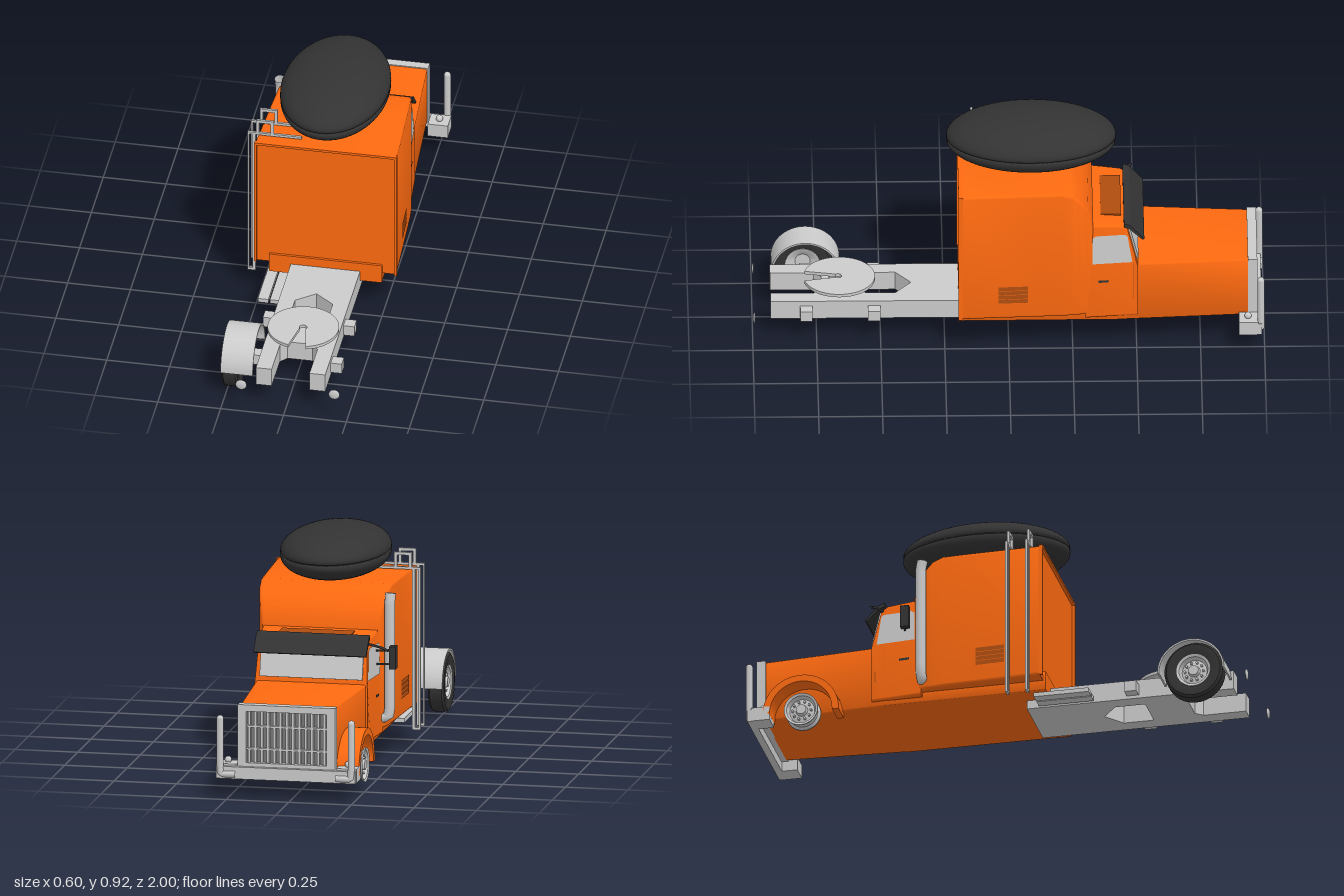
import * as THREE from 'three';
import { toCreasedNormals } from 'three/addons/utils/BufferGeometryUtils.js';

const CX = 0.015; // centre line of the body
const mat = (color) => new THREE.MeshStandardMaterial({ color, side: THREE.DoubleSide });

export function createModel() {
  const truck = new THREE.Group();
  const grey = mat(0xcccccc), orange = mat(0xff6a10), vent = mat(0xb04d10), black = mat(0x333333);

  function add(name, geo, m, x = 0, y = 0, z = 0) {
    const mesh = new THREE.Mesh(geo, m);
    mesh.name = name;
    mesh.position.set(x, y, z);
    truck.add(mesh);
    return mesh;
  }
  // box given by its limits
  const box = (name, m, x0, x1, y0, y1, z0, z1) =>
    add(name, new THREE.BoxGeometry(x1 - x0, y1 - y0, z1 - z0), m, (x0 + x1) / 2, (y0 + y1) / 2, (z0 + z1) / 2);
  // tube through straight or smooth points
  const pipe = (name, m, pts, r) =>
    add(name, new THREE.TubeGeometry(new THREE.CatmullRomCurve3(pts.map((p) => new THREE.Vector3(...p)), false, 'catmullrom', 0.1), 32, r, 12), m);
  // flat shape in x-z, thickened downwards from yTop
  function slab(name, m, shape, thick, yTop) {
    const g = new THREE.ExtrudeGeometry(shape, { depth: thick, bevelEnabled: false, curveSegments: 32 });
    return add(name, g.rotateX(Math.PI / 2), m, CX, yTop, 0);
  }
  const poly = (pts) => new THREE.Shape(pts.map((p) => new THREE.Vector2(...p)));

  // body skin through rounded sections [z, halfWidth, bottom, top, topInset]
  function loft(name, m, sections, r = 0.012) {
    const rings = sections.map(([z, w, y0, y1, inset = 0]) => {
      const ring = [];
      [[1, y0 + r, -1], [1, y1 - r, 0], [-1, y1 - r, 1], [-1, y0 + r, 2]].forEach(([s, cy, q], k) => {
        const cx = s * (w - r - (k === 1 || k === 2 ? inset : 0));
        for (let i = 0; i <= 4; i++) {
          const a = (q + i / 4) * Math.PI / 2;
          ring.push([CX + cx + r * Math.cos(a), cy + r * Math.sin(a), z]);
        }
      });
      return ring;
    });
    const pos = [], n = rings[0].length, last = rings[rings.length - 1];
    for (let i = 0; i < rings.length - 1; i++) {
      for (let j = 0; j < n; j++) {
        const k = (j + 1) % n, a = rings[i][j], b = rings[i][k], c = rings[i + 1][j], d = rings[i + 1][k];
        pos.push(...a, ...c, ...b, ...b, ...c, ...d);
      }
    }
    for (let j = 1; j < n - 1; j++) {
      pos.push(...rings[0][0], ...rings[0][j], ...rings[0][j + 1]);
      pos.push(...last[0], ...last[j + 1], ...last[j]);
    }
    const g = new THREE.BufferGeometry();
    g.setAttribute('position', new THREE.Float32BufferAttribute(pos, 3));
    return add(name, toCreasedNormals(g, 0.6), m);
  }

  // sleeper, cab, hood and underside
  loft('sleeper', orange, [
    [0.185, 0.282, 0.16, 0.717], [-0.1, 0.268, 0.16, 0.72], [-0.21, 0.262, 0.16, 0.72], [-0.25, 0.258, 0.16, 0.705],
    [-0.28, 0.253, 0.16, 0.675], [-0.31, 0.243, 0.16, 0.635], [-0.33, 0.23, 0.16, 0.57]]);
  loft('cab', orange, [[-0.3, 0.245, 0.14, 0.56, 0.012], [-0.44, 0.231, 0.14, 0.55, 0.012],
    [-0.465, 0.229, 0.14, 0.535, 0.012], [-0.505, 0.225, 0.14, 0.375]]);
  loft('hood', orange, [[-0.45, 0.222, 0.12, 0.375], [-0.94, 0.19, 0.12, 0.372]], 0.008);
  loft('underside', orange, [[0.195, 0.225, 0.12, 0.2], [-0.46, 0.222, 0.12, 0.2]], 0.005);
  // raised rim around the sleeper back
  box('sleeperRimTop', orange, CX - 0.283, CX + 0.283, 0.708, 0.718, 0.18, 0.197);
  for (const s of [-1, 1]) {
    const x = CX + s * 0.279;
    box('sleeperRimSide', orange, x - 0.005, x + 0.005, 0.16, 0.715, 0.18, 0.197);
  }

  // thin panels laid on the tapering flanks, outlined in z-y
  const cabX = (z, y) => 0.245 + (z + 0.3) * 0.1 - Math.max(0, y - 0.15) * 0.03 + 0.004;
  const sleeperX = (z) => 0.273 + z * 0.05 + 0.003;
  function flank(name, m, pts, xAt) {
    for (const s of [-1, 1]) {
      const g = new THREE.ShapeGeometry(poly(pts)), p = g.attributes.position;
      for (let i = 0; i < p.count; i++) {
        const z = p.getX(i), y = p.getY(i);
        p.setXYZ(i, CX + s * xAt(z, y), y, z);
      }
      g.computeVertexNormals();
      add(name, g, m);
    }
  }
  flank('sideWindow', grey, [[-0.328, 0.385], [-0.328, 0.5], [-0.34, 0.51], [-0.455, 0.51], [-0.465, 0.5], [-0.483, 0.385]], cabX);
  for (let i = 0; i < 4; i++) {
    const y = 0.232 + i * 0.019;
    flank('sideVent', vent, [[0.04, y], [0.04, y + 0.017], [-0.075, y + 0.017], [-0.075, y]], sleeperX);
  }
  flank('doorSeam', vent, [[-0.487, 0.22], [-0.487, 0.38], [-0.49, 0.38], [-0.49, 0.22]], cabX);
  flank('doorHandle', black, [[-0.35, 0.3], [-0.35, 0.31], [-0.39, 0.31], [-0.39, 0.3]], cabX);
  box('roofVent', vent, CX - 0.145, CX + 0.145, 0.545, 0.558, -0.44, -0.36);

  // windshield and sun visor
  const glass = box('windshield', grey, CX - 0.205, CX + 0.205, 0.39, 0.53, -0.491, -0.484);
  glass.rotation.x = 0.24;
  const visorShape = poly([[-0.45, 0.562], [-0.475, 0.553], [-0.53, 0.492], [-0.523, 0.488], [-0.47, 0.538], [-0.45, 0.545]]);
  const visor = new THREE.ExtrudeGeometry(visorShape, { depth: 0.45, bevelEnabled: false });
  add('sunVisor', visor.rotateY(-Math.PI / 2), black, CX + 0.225, 0, 0).geometry.scale(1, 1, 1);

  // lens-shaped roof pod in two halves with a groove between
  for (const s of [-1, 1]) {
    const pts = [[0.97, 0], [0.97, 0.03], [1, 0.04]];
    for (let i = 1; i <= 16; i++) {
      const a = (i / 16) * Math.PI / 2;
      pts.push([Math.max(0, Math.cos(a)), 0.08 + 0.92 * Math.sin(a)]);
    }
    const g = new THREE.LatheGeometry(pts.map((p) => new THREE.Vector2(...p)), 64);
    add('roofPod', g, black, 0.002, 0.822, -0.09).scale.set(0.212, s * 0.102, 0.332);
  }

  // grille with frame, slats and crossbars
  box('grilleBack', mat(0x777777), CX - 0.185, CX + 0.185, 0.13, 0.37, -0.95, -0.938);
  box('grilleTop', grey, CX - 0.195, CX + 0.195, 0.35, 0.376, -0.972, -0.935);
  box('grilleBottom', grey, CX - 0.195, CX + 0.195, 0.12, 0.145, -0.972, -0.935);
  for (const s of [-1, 1]) {
    const x = CX + s * 0.178;
    box('grilleSide', grey, x - 0.017, x + 0.017, 0.12, 0.376, -0.972, -0.935);
  }
  for (let i = 0; i < 13; i++) {
    const x = CX + (i - 6) * 0.025;
    box('grilleSlat', grey, x - 0.005, x + 0.005, 0.14, 0.355, -0.965, -0.945);
  }
  for (const y of [0.2, 0.29]) box('grilleBar', grey, CX - 0.165, CX + 0.165, y - 0.004, y + 0.004, -0.968, -0.945);

  // bumper with end blocks, marker lamps and guard posts
  box('bumper', grey, CX - 0.278, CX + 0.278, 0.082, 0.13, -0.99, -0.962);
  for (const s of [-1, 1]) {
    const x = CX + s * 0.24;
    box('bumperBlock', grey, x - 0.04, x + 0.04, 0.082, 0.138, -0.975, -0.9);
    add('markerLamp', new THREE.SphereGeometry(0.014, 16, 12), grey, x, 0.147, -0.935);
    pipe('guardPost', grey, [[CX + s * 0.2, 0.1, -0.985], [CX + s * 0.258, 0.1, -0.985], [CX + s * 0.262, 0.14, -0.985], [CX + s * 0.262, 0.32, -0.985]], 0.014);
    add('guardPostCap', new THREE.SphereGeometry(0.014, 16, 12), grey, CX + s * 0.262, 0.32, -0.985);
  }

  // arched fender running along x; name, inner and outer radius, x limits, arc
  function fender(name, m, r0, r1, x0, x1, y, z, a0, a1) {
    const sh = new THREE.Shape();
    sh.absarc(0, 0, r1, a0, a1, false);
    sh.absarc(0, 0, r0, a1, a0, true);
    const g = new THREE.ExtrudeGeometry(sh, { depth: x1 - x0, bevelEnabled: false, curveSegments: 32 });
    add(name, toCreasedNormals(g.rotateY(-Math.PI / 2), 0.5), m, x1, y, z);
  }
  fender('frontFender', orange, 0.125, 0.152, -0.265, -0.17, 0.108, -0.775, -0.05, Math.PI + 0.05);
  fender('rearFender', grey, 0.127, 0.134, -0.265, -0.137, 0.117, 0.79, 0, Math.PI);

  // wheels: revolved profiles [radius, offset], turned onto the x axis
  const revolve = (name, m, pts, x, y, z) =>
    add(name, toCreasedNormals(new THREE.LatheGeometry(pts.map((p) => new THREE.Vector2(...p)), 40).rotateZ(Math.PI / 2), 0.6), m, x, y, z);
  const rim = [[0, 0.028], [0.02, 0.028], [0.024, 0.012], [0.05, 0.006], [0.058, 0.026], [0.068, 0.03], [0.068, 0.024],
    [0.058, 0.015], [0.058, -0.015], [0.068, -0.024], [0.068, -0.03], [0.056, -0.026], [0.03, -0.006], [0, -0.006]];
  for (const [label, y, z] of [['front', 0.115, -0.775], ['rear', 0.117, 0.8]]) {
    revolve(label + 'Rim', grey, rim, -0.232, y, z);
    for (let i = 0; i < 10; i++) {
      const a = i * Math.PI / 5;
      const bolt = add(label + 'WheelBolt', new THREE.CylinderGeometry(0.005, 0.005, 0.012, 8), grey, -0.246, y + 0.037 * Math.sin(a), z + 0.037 * Math.cos(a));
      bolt.rotation.z = Math.PI / 2;
    }
  }
  revolve('rearTire', black, [[0.066, -0.026], [0.09, -0.033], [0.108, -0.032], [0.117, -0.024], [0.117, 0.024], [0.108, 0.032],
    [0.09, 0.033], [0.066, 0.026], [0.066, -0.026]], -0.232, 0.117, 0.8);

  // chassis: two rails joined by a front plate and a cross member
  const frame = poly([[-0.138, 0.1], [0.138, 0.1], [0.138, 0.93], [0.075, 0.93], [0.075, 0.76], [0.05, 0.73], [-0.05, 0.73],
    [-0.075, 0.76], [-0.075, 0.93], [-0.138, 0.93]]);
  frame.holes.push(new THREE.Path([[-0.075, 0.44], [0, 0.38], [0.075, 0.44], [0.075, 0.56], [-0.075, 0.56]].map((p) => new THREE.Vector2(...p))));
  slab('chassis', grey, frame, 0.078, 0.163);
  for (const s of [-1, 1]) {
    for (const z of [0.525, 0.79]) {
      const x = CX + s * 0.155;
      box('axleMount', grey, x - 0.027, x + 0.027, 0.098, 0.142, z - 0.024, z + 0.024);
    }
    const lamp = new THREE.SphereGeometry(0.022, 24, 8, 0, Math.PI * 2, 0, Math.PI / 2).scale(1, 0.35, 1).rotateX(Math.PI / 2);
    add('tailLamp', lamp, grey, CX + s * 0.185, 0.118, 0.992);
  }

  // coupling plate with its slot, on a pedestal
  const plate = new THREE.Shape();
  plate.absarc(0, 0.66, 0.14, Math.PI / 2 + 0.25, Math.PI * 2.5 - 0.25, false);
  plate.lineTo(0.012, 0.68);
  plate.absarc(0, 0.665, 0.015, 0.6, Math.PI - 0.6, true);
  slab('couplingPlate', grey, plate, 0.013, 0.195);
  for (const s of [-1, 1]) box('couplingPedestal', grey, CX + s * 0.05 - 0.02, CX + s * 0.05 + 0.02, 0.16, 0.184, 0.6, 0.7);

  // side step behind the sleeper
  for (const x of [-0.2, -0.152]) box('sideStep', grey, x - 0.021, x + 0.021, 0.088, 0.105, 0.15, 0.37);

  // exhaust stack with a bent tip
  pipe('exhaustStack', grey, [[-0.22, 0.2, -0.295], [-0.25, 0.21, -0.295], [-0.256, 0.25, -0.295], [-0.256, 0.66, -0.295], [-0.258, 0.7, -0.288]], 0.021);

  // looped rails hugging the flank and roof
  for (const z of [0.06, 0.14]) {
    const bar = (x0, x1, y0, y1) => box('flankRail', grey, x0, x1, y0, y1, z - 0.005, z + 0.005);
    bar(-0.305, -0.298, 0.082, 0.73);
    bar(-0.284, -0.272, 0.082, 0.73);
    bar(-0.305, -0.272, 0.082, 0.092);
    bar(-0.305, -0.09, 0.722, 0.732);
    bar(-0.27, -0.258, 0.73, 0.79);
    bar(-0.212, -0.2, 0.73, 0.79);
    bar(-0.27, -0.2, 0.778, 0.79);
  }

  // door mirror and its arms
  box('mirror', black, -0.295, -0.268, 0.412, 0.502, -0.37, -0.335);
  for (const y of [0.43, 0.485]) pipe('mirrorArm', black, [[-0.21, y, -0.37], [-0.28, y, -0.352]], 0.004);
  pipe('visorArm', black, [[-0.2, 0.53, -0.46], [-0.26, 0.52, -0.475], [-0.29, 0.51, -0.485]], 0.005);
  return truck;
}
